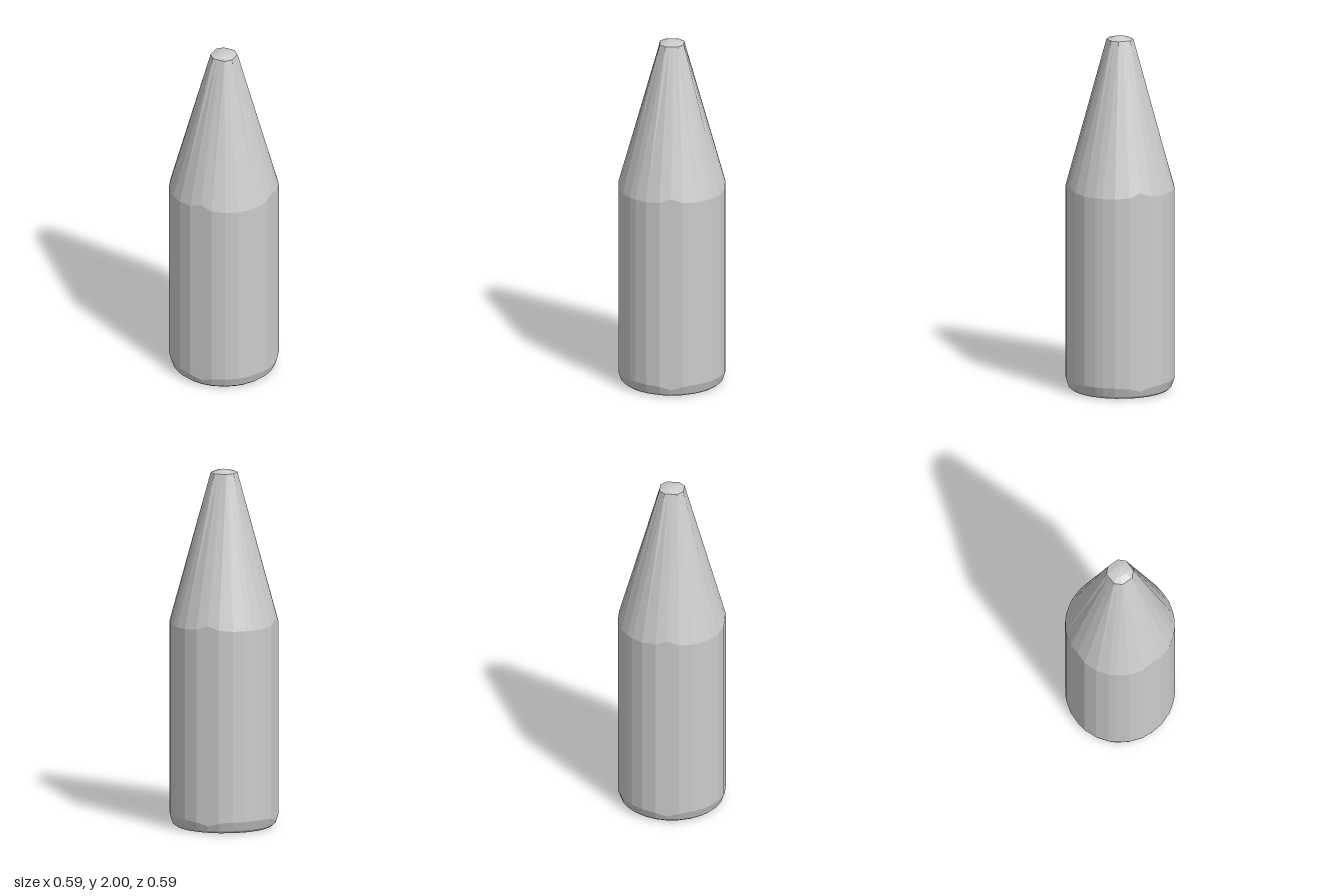
import * as THREE from 'three';

// Angles of the body corners within one quarter turn (0 is the middle of a wide flat)
const QUARTER = [0, 12.4, 27.4, 41, 49, 62.6, 77.6];
const ANGLES = [0, 90, 180, 270].flatMap(q => QUARTER.map(a => THREE.MathUtils.degToRad(q + a)));
const FLAT = 0.295;

// Nearly round body section with four wide flats
const bodyRadius = a => {
  const c = Math.max(Math.abs(Math.cos(a)), Math.abs(Math.sin(a)));
  return Math.min(0.304, FLAT / c);
};
// Octagonal tip section
const tipRadius = a => {
  const c = Math.abs(Math.cos(a)), s = Math.abs(Math.sin(a));
  return Math.min(0.067 / Math.max(c, s), 0.101 / (c + s));
};

// Joins rings from bottom to top; each ring gives [radius, height] for an angle
function loft(rings) {
  const n = ANGLES.length, pos = [], index = [];
  for (const ring of rings) {
    for (const a of ANGLES) {
      const [r, y] = ring(a);
      pos.push(r * Math.cos(a), y, r * Math.sin(a));
    }
  }
  for (let k = 0; k < rings.length - 1; k++) {
    for (let i = 0; i < n; i++) {
      const a = k * n + i, b = k * n + (i + 1) % n;
      index.push(a, a + n, b, b, a + n, b + n);
    }
  }
  const g = new THREE.BufferGeometry();
  g.setAttribute('position', new THREE.Float32BufferAttribute(pos, 3));
  g.setIndex(index);
  const flat = g.toNonIndexed();
  flat.computeVertexNormals();
  return flat;
}

export function createModel() {
  const group = new THREE.Group();
  group.name = 'pointedCylinder';
  const material = new THREE.MeshStandardMaterial({ color: 0xcccccc, flatShading: true });
  const add = (name, rings) => {
    const mesh = new THREE.Mesh(loft(rings), material);
    mesh.name = name;
    group.add(mesh);
  };

  // Scalloped edges where the faceted body meets the cone and the rounded base
  const shoulder = a => [bodyRadius(a), 1.17 - (bodyRadius(a) - FLAT) * 3.2];
  const baseEdge = a => [bodyRadius(a), 0.04 + (bodyRadius(a) - FLAT) * 2.8];
  const tipEdge = a => [tipRadius(a), 1.985];

  add('base', [
    () => [0, 0],
    () => [0.27, 0],
    () => [0.287, 0.014],
    baseEdge,
  ]);
  add('body', [baseEdge, shoulder]);
  add('cone', [shoulder, tipEdge]);
  add('tip', [tipEdge, a => [tipRadius(a) * 0.45, 1.997], () => [0, 2]]);
  return group;
}
